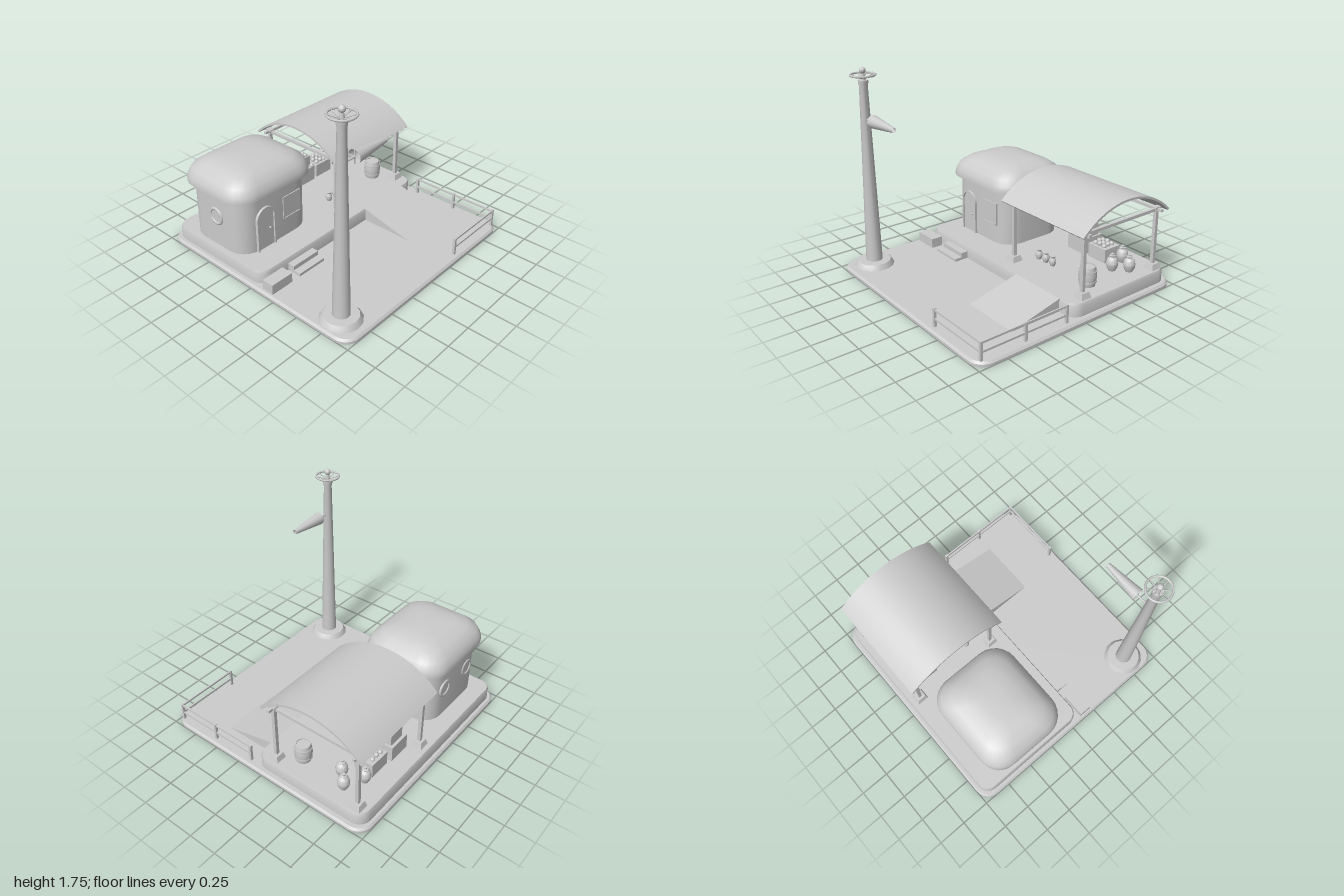
import * as THREE from 'three';
import { toCreasedNormals } from 'three/addons/utils/BufferGeometryUtils.js';

const grey = new THREE.MeshStandardMaterial({ color: 0xcccccc });
grey.name = 'plain grey';
const greyOpen = new THREE.MeshStandardMaterial({ color: 0xcccccc, side: THREE.DoubleSide });
greyOpen.name = 'plain grey';

export function createModel() {
  const root = new THREE.Group();
  root.name = 'outpost';

  function add(name, geo, x = 0, y = 0, z = 0, parent = root, mat = grey) {
    const m = new THREE.Mesh(geo, mat);
    m.name = name;
    m.position.set(x, y, z);
    parent.add(m);
    return m;
  }
  function group(name, x = 0, y = 0, z = 0) {
    const g = new THREE.Group();
    g.name = name;
    g.position.set(x, y, z);
    root.add(g);
    return g;
  }
  // box given by its min and max corners
  const box = (name, x0, x1, y0, y1, z0, z1, parent = root) =>
    add(name, new THREE.BoxGeometry(x1 - x0, y1 - y0, z1 - z0), (x0 + x1) / 2, (y0 + y1) / 2, (z0 + z1) / 2, parent);
  const lathe = (pts, n, crease = 0.6) =>
    toCreasedNormals(new THREE.LatheGeometry(pts.map(p => new THREE.Vector2(...p)), n), crease);
  // outline in (-z, y) pulled along x
  const extrudeX = (shape, len) => new THREE.ExtrudeGeometry(shape, { depth: len, bevelEnabled: false, curveSegments: 24 }).rotateY(Math.PI / 2);

  // rounded-rectangle rings [y, halfX, halfZ, radius] joined into a closed body
  function loft(rings, crease, steps = 6) {
    const pos = [], idx = [], n = 4 * (steps + 1);
    for (const [y, hx, hz, r] of rings)
      for (let q = 0; q < 4; q++)
        for (let s = 0; s <= steps; s++) {
          const a = (q + s / steps) * Math.PI / 2;
          const sx = q === 0 || q === 3 ? 1 : -1, sz = q < 2 ? 1 : -1;
          pos.push(sx * (hx - r) + r * Math.cos(a), y, sz * (hz - r) + r * Math.sin(a));
        }
    for (let k = 0; k < rings.length - 1; k++)
      for (let i = 0; i < n; i++) {
        const a = k * n + i, b = k * n + (i + 1) % n;
        idx.push(a, a + n, b, b, a + n, b + n);
      }
    const bottom = pos.length / 3, last = (rings.length - 1) * n;
    pos.push(0, rings[0][0], 0, 0, rings[rings.length - 1][0], 0);
    for (let i = 0; i < n; i++) {
      const j = (i + 1) % n;
      idx.push(bottom, i, j, bottom + 1, last + j, last + i);
    }
    const g = new THREE.BufferGeometry();
    g.setAttribute('position', new THREE.Float32BufferAttribute(pos, 3));
    g.setIndex(idx);
    return toCreasedNormals(g, crease);
  }

  // ground slab and raised platform
  add('groundSlab', loft([[0, 1, 1, 0.13], [0.02, 1, 1, 0.13], [0.037, 0.985, 0.985, 0.115]], 0.5));
  add('platform', loft([[0.03, 0.955, 0.525, 0.1], [0.125, 0.955, 0.525, 0.1], [0.147, 0.945, 0.515, 0.09]], 0.5), -0.003, 0, -0.437);

  // hut
  const hut = group('hut', -0.538, 0, -0.484);
  add('hutWalls', loft([[0.14, 0.378, 0.328, 0.17], [0.66, 0.378, 0.328, 0.17]], 0.6), 0, 0, 0, hut);
  const roofRings = [[0.642, 0], [0.67, 0], [0.7, 0.008], [0.755, 0.035], [0.805, 0.1], [0.836, 0.19], [0.847, 0.28]];
  add('hutRoof', loft(roofRings.map(([y, d]) => [y, 0.432 - d, 0.377 - d, Math.max(0.2 - d * 0.45, 0.06)]), 0.9), 0, 0, 0, hut);

  // arched door with frame and knob
  function arch(r, h) {
    const s = new THREE.Shape();
    s.moveTo(-r, 0);
    s.lineTo(r, 0);
    s.lineTo(r, h);
    s.absarc(0, h, r, 0, Math.PI, false);
    return s;
  }
  const door = group('door', -0.677, 0.147, -0.25);
  const frame = arch(0.098, 0.285);
  frame.holes.push(arch(0.083, 0.285));
  add('doorFrame', new THREE.ExtrudeGeometry(frame, { depth: 0.115, bevelEnabled: false }), 0, 0, 0, door);
  add('doorLeaf', new THREE.ExtrudeGeometry(arch(0.083, 0.285), { depth: 0.1, bevelEnabled: false }), 0, 0, 0, door);
  add('doorKnob', new THREE.SphereGeometry(0.01, 10, 8), 0.04, 0.172, 0.107, door);

  // square window
  box('windowFrame', -0.48, -0.288, 0.315, 0.52, -0.17, -0.148);
  box('windowSill', -0.465, -0.3, 0.318, 0.328, -0.15, -0.141);

  // portholes: two at the back, one on the side
  for (const [x, z, turn] of [[-0.36, -0.812, Math.PI], [-0.705, -0.808, Math.PI], [-0.916, -0.46, -Math.PI / 2]]) {
    const p = group('porthole', x, 0.425, z);
    p.rotation.y = turn;
    add('portholeRim', new THREE.TorusGeometry(0.066, 0.013, 8, 24), 0, 0, 0, p);
    add('portholeGlass', new THREE.CylinderGeometry(0.064, 0.064, 0.03, 24).rotateX(Math.PI / 2), 0, 0, -0.012, p);
  }

  // mast with round foot, top wheel and ball
  const mast = group('mast', -0.815, 0, 0.775);
  add('mastFoot', lathe([[0, 0.03], [0.17, 0.03], [0.165, 0.045], [0.14, 0.08], [0, 0.085]], 14, 0.5), 0, 0, 0, mast);
  add('mastPole', lathe([[0, 0.08], [0.07, 0.08], [0.035, 1.6], [0.041, 1.625], [0.041, 1.648], [0, 1.648]], 14), 0, 0, 0, mast);
  add('wheelRim', new THREE.TorusGeometry(0.1, 0.009, 6, 20).rotateX(Math.PI / 2), 0, 1.688, 0, mast);
  add('wheelHub', new THREE.CylinderGeometry(0.014, 0.022, 0.06, 10), 0, 1.67, 0, mast);
  for (let i = 0; i < 8; i++) {
    const a = i * Math.PI / 4;
    const path = new THREE.LineCurve3(
      new THREE.Vector3(0.015 * Math.cos(a), 1.66, 0.015 * Math.sin(a)),
      new THREE.Vector3(0.1 * Math.cos(a), 1.688, 0.1 * Math.sin(a)));
    add('wheelSpoke', new THREE.TubeGeometry(path, 1, 0.005, 5), 0, 0, 0, mast);
  }
  add('mastBall', new THREE.SphereGeometry(0.027, 12, 8), 0, 1.725, 0, mast);
  add('sockArm', new THREE.CylinderGeometry(0.008, 0.008, 0.12, 8).rotateZ(Math.PI / 2), 0.08, 1.33, 0, mast);
  add('windsock', new THREE.CylinderGeometry(0.02, 0.055, 0.325, 12, 1, true).rotateZ(-Math.PI / 2), 0.287, 1.33, 0, mast, greyOpen);
  for (const a of [0, Math.PI / 2])
    add('sockBrace', new THREE.BoxGeometry(0.006, 0.108, 0.006).rotateX(a), 0.128, 1.33, 0, mast);

  // block, steps and ramp
  box('block', -0.97, -0.76, 0.035, 0.122, 0.11, 0.217);
  box('upperStep', -0.675, -0.398, 0.035, 0.1, 0.07, 0.15);
  box('lowerStep', -0.675, -0.398, 0.035, 0.062, 0.15, 0.217);
  const wedge = new THREE.Shape([[-0.56, 0.035], [-0.07, 0.035], [-0.07, 0.147], [-0.085, 0.147]].map(p => new THREE.Vector2(...p)));
  add('ramp', extrudeX(wedge, 0.515), 0.275);

  // corner fence
  for (const [x, z] of [[0.38, 0.945], [0.945, 0.945], [0.945, 0.55], [0.945, 0.155]])
    box('fencePost', x - 0.011, x + 0.011, 0.035, 0.19, z - 0.011, z + 0.011);
  for (const y of [0.103, 0.177]) {
    box('frontRail', 0.38, 0.945, y - 0.008, y + 0.008, 0.939, 0.951);
    box('sideRail', 0.939, 0.951, y - 0.008, y + 0.008, 0.155, 0.945);
  }

  // arched canopy on four posts
  const R = 0.671, curve = new THREE.Shape();
  curve.absarc(0, 0, R, Math.PI * 0.25, Math.PI * 0.75, false);
  curve.absarc(0, 0, R - 0.018, Math.PI * 0.75, Math.PI * 0.25, true);
  add('canopyRoof', toCreasedNormals(extrudeX(curve, 0.96), 0.5), -0.016, 0.872 - R, -0.465);
  for (const x of [0.062, 0.877]) {
    for (const z of [-0.067, -0.863]) {
      box('canopyPost', x - 0.015, x + 0.015, 0.147, 0.69, z - 0.015, z + 0.015);
      add('postFoot', toCreasedNormals(new THREE.CylinderGeometry(0.052, 0.071, 0.048, 4).rotateY(Math.PI / 4), 0.5), x, 0.171, z);
      box('postCap', x - 0.022, x + 0.022, 0.668, 0.69, z - 0.03, z + 0.03);
    }
    box('crossBeam', x - 0.012, x + 0.012, 0.655, 0.68, -0.89, -0.04);
  }
  for (const z of [-0.067, -0.863]) box('longBeam', 0, 0.94, 0.66, 0.682, z - 0.012, z + 0.012);

  // crates with fruit
  box('lowerCrate', 0.152, 0.355, 0.147, 0.285, -0.8, -0.6);
  box('upperCrate', 0.19, 0.34, 0.285, 0.385, -0.775, -0.64);
  box('sideCrate', 0.392, 0.585, 0.147, 0.268, -0.78, -0.61);
  const fruit = new THREE.SphereGeometry(0.021, 10, 8);
  for (let i = 0; i < 3; i++)
    for (let j = 0; j < 3; j++) {
      add('fruit', fruit, 0.225 + i * 0.04, 0.39 + 0.006 * ((i + j) % 2), -0.745 + j * 0.038);
      add('fruit', fruit, 0.432 + i * 0.05, 0.274 + 0.008 * ((i + j) % 2), -0.74 + j * 0.045);
    }
  for (const [x, z] of [[0.172, -0.62], [0.172, -0.7], [0.335, -0.62], [0.25, -0.62]]) add('fruit', fruit, x, 0.29, z);

  // barrel with hoops
  const barrel = group('barrel', 0.757, 0.147, -0.24);
  add('barrelBody', lathe([[0, 0], [0.061, 0], [0.07, 0.04], [0.074, 0.082], [0.07, 0.124], [0.061, 0.164], [0.054, 0.164], [0.054, 0.155], [0, 0.155]], 18), 0, 0, 0, barrel);
  for (const y of [0.04, 0.124])
    add('barrelHoop', new THREE.CylinderGeometry(0.074, 0.074, 0.014, 18), 0, y, 0, barrel);

  // big stoppered jars and a row of small ones
  const jar = lathe([[0, 0], [0.03, 0], [0.047, 0.035], [0.051, 0.065], [0.042, 0.1], [0.02, 0.12], [0.026, 0.13], [0.014, 0.135], [0.014, 0.147], [0, 0.149]], 12);
  for (const [x, z] of [[0.645, -0.755], [0.8, -0.67], [0.7, -0.575]]) add('bigJar', jar, x, 0.147, z);
  const pot = lathe([[0, 0], [0.02, 0], [0.029, 0.025], [0.029, 0.05], [0.018, 0.072], [0.023, 0.086], [0, 0.088]], 10);
  for (const x of [0.17, 0.255, 0.34]) add('smallJar', pot, x, 0.147, -0.25);

  return root;
}
